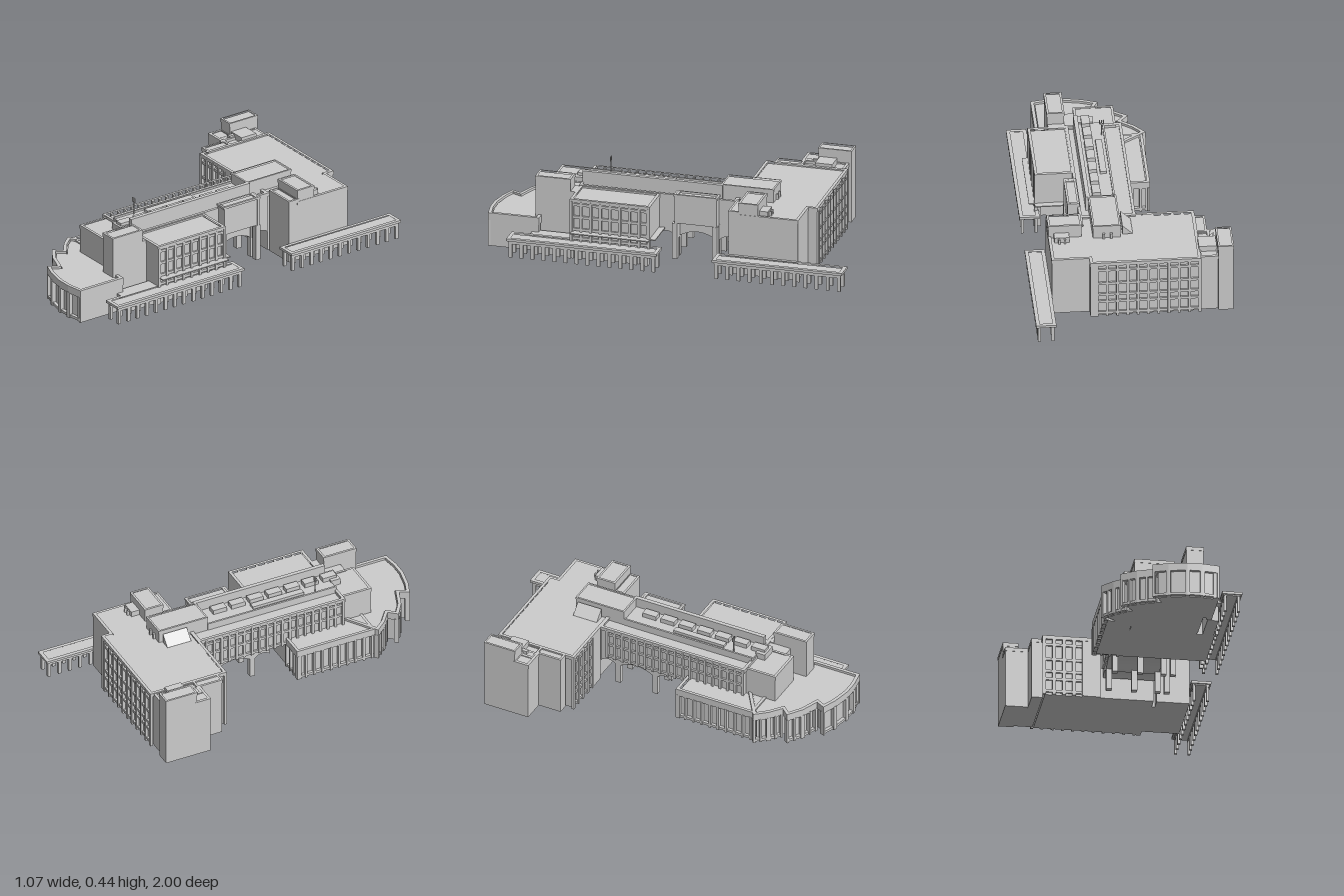
import * as THREE from 'three';

const mat = new THREE.MeshStandardMaterial({ color: 0xcccccc, flatShading: true });

// Moves every edge of a closed [x, z] outline inwards by d
function inset(pts, d) {
  const n = pts.length;
  let area = 0;
  pts.forEach(([x, z], i) => { const q = pts[(i + 1) % n]; area += x * q[1] - q[0] * z; });
  const s = Math.sign(area);
  return pts.map((p, i) => {
    const a = pts[(i + n - 1) % n], b = pts[(i + 1) % n];
    const u = new THREE.Vector2(p[0] - a[0], p[1] - a[1]).normalize();
    const v = new THREE.Vector2(b[0] - p[0], b[1] - p[1]).normalize();
    const k = d * s / (1 + u.dot(v));
    return [p[0] - (u.y + v.y) * k, p[1] + (u.x + v.x) * k];
  });
}
const rect = (x0, x1, z0, z1) => [[x0, z0], [x1, z0], [x1, z1], [x0, z1]];
const toPath = (pts) => pts.map(([x, z]) => new THREE.Vector2(x, -z));

function add(parent, name, geo) {
  const m = new THREE.Mesh(geo, mat);
  m.name = name;
  parent.add(m);
  return m;
}
// Box given by its limits
function box(parent, name, x0, x1, y0, y1, z0, z1) {
  const m = add(parent, name, new THREE.BoxGeometry(x1 - x0, y1 - y0, z1 - z0));
  m.position.set((x0 + x1) / 2, (y0 + y1) / 2, (z0 + z1) / 2);
  return m;
}
// Upright prism over an [x, z] outline, optionally hollow
function prism(parent, name, pts, y0, y1, hole) {
  const s = new THREE.Shape(toPath(pts));
  if (hole) s.holes.push(new THREE.Path(toPath(hole)));
  const g = new THREE.ExtrudeGeometry(s, { depth: y1 - y0, bevelEnabled: false });
  g.rotateX(-Math.PI / 2).translate(0, y0, 0);
  return add(parent, name, g);
}
// Walls, flat roof and a raised parapet
function block(parent, name, pts, y0, y1, wallInset = 0.004, rim = 0.02, fascia = 0.02) {
  const g = new THREE.Group();
  g.name = name;
  prism(g, name + 'Walls', inset(pts, wallInset), y0, y1 - 0.01);
  prism(g, name + 'Parapet', pts, y1 - fascia, y1, inset(pts, rim));
  parent.add(g);
  return g;
}
// Fins and floor bands along a wall; the wall faces left of travel on the ground plan
function facade(parent, name, [x0, z0], [x1, z1], y0, y1, bays, rows, depth = 0.014, fin = 0.014) {
  const g = new THREE.Group(), len = Math.hypot(x1 - x0, z1 - z0);
  g.name = name;
  g.position.set(x0, 0, z0);
  g.rotation.y = Math.atan2(-(z1 - z0), x1 - x0);
  for (let i = 0; i <= bays; i++) {
    const x = fin / 2 + (len - fin) * i / bays;
    box(g, 'fin', x - fin / 2, x + fin / 2, y0, y1, -depth, 0.001);
  }
  for (const y of rows) box(g, 'floorBand', 0, len, y - 0.007, y + 0.007, -depth, -0.004);
  parent.add(g);
}

export function createModel() {
  const model = new THREE.Group();
  model.name = 'building';

  // Rear wing
  block(model, 'rearWing', [[-0.36, -0.78], [0.23, -0.78], [0.23, -0.73], [0.43, -0.73], [0.43, -0.4],
    [0.25, -0.4], [0.25, -0.33], [-0.36, -0.33]], 0, 0.34, 0.014, 0.016);
  const wingRows = [0.02, 0.09, 0.135, 0.205, 0.29];
  facade(model, 'rearWindows', [0.2, -0.78], [-0.36, -0.78], 0, 0.33, 10, wingRows);
  facade(model, 'wingFrontWindows', [-0.36, -0.33], [-0.13, -0.33], 0, 0.33, 4, wingRows, 0.014, 0.018);
  box(model, 'plainWall', -0.13, -0.05, 0, 0.33, -0.36, -0.332);
  box(model, 'rearCorner', 0.2, 0.228, 0, 0.33, -0.778, -0.7);
  box(model, 'rearSideWall', 0.4, 0.428, 0, 0.33, -0.728, -0.4);
  box(model, 'rearPlainWall', 0.22, 0.428, 0, 0.33, -0.728, -0.7);

  // Left stair tower and its lower neighbours
  block(model, 'leftTower', rect(-0.535, -0.45, -0.775, -0.59), 0, 0.405, 0.002, 0.01);
  block(model, 'leftTowerBase', rect(-0.535, -0.41, -0.6, -0.51), 0, 0.34, 0.002, 0.015);
  block(model, 'leftLink', rect(-0.46, -0.35, -0.76, -0.52), 0, 0.335, 0.002, 0.015);
  block(model, 'leftCorner', rect(-0.413, -0.35, -0.53, -0.38), 0, 0.34, 0.002, 0.012);
  box(model, 'roofHut', -0.45, -0.355, 0.32, 0.357, -0.695, -0.6);
  box(model, 'roofVent', -0.44, -0.42, 0.32, 0.35, -0.6, -0.57);

  // Right rear tower
  block(model, 'rightTower', rect(0.25, 0.43, -0.51, -0.4), 0, 0.405, 0.002, 0.012);
  block(model, 'rightTowerStep', rect(0.25, 0.43, -0.41, -0.345), 0, 0.355, 0.002, 0.012);
  box(model, 'towerHut', 0.32, 0.4, 0.32, 0.36, -0.555, -0.505);
  for (const x of [0.34, 0.37]) box(model, 'towerPipe', x, x + 0.01, 0.32, 0.355, -0.57, -0.55);

  // Central spine: closed ground floor to the front, arched passage to the rear
  box(model, 'spineGroundFloor', -0.036, 0.25, 0, 0.32, 0.19, 0.52);
  const arch = new THREE.Shape();
  arch.moveTo(-0.19, 0.15);
  arch.lineTo(-0.085, 0.15);
  arch.lineTo(-0.085, 0.115);
  arch.quadraticCurveTo(-0.045, 0.15, 0, 0.115);
  arch.lineTo(0.03, 0.115);
  arch.quadraticCurveTo(0.125, 0.17, 0.22, 0.115);
  arch.lineTo(0.25, 0.115);
  arch.quadraticCurveTo(0.29, 0.15, 0.335, 0.115);
  arch.lineTo(0.335, 0.32);
  arch.lineTo(-0.19, 0.32);
  const bridge = new THREE.ExtrudeGeometry(arch, { depth: 0.286, bevelEnabled: false, curveSegments: 10 });
  bridge.rotateY(Math.PI / 2).translate(-0.036, 0, 0);
  add(model, 'archedBridge', bridge);
  for (const z of [-0.015, -0.235])
    for (const x of [-0.035, 0.1, 0.225, 0.275])
      box(model, 'passagePier', x, x + 0.03, 0, 0.2, z - 0.015, z + 0.015);
  const spine = rect(-0.05, 0.25, -0.34, 0.525);
  prism(model, 'spineParapet', spine, 0.32, 0.34, inset(spine, 0.016));
  facade(model, 'spineWindows', [-0.05, -0.3], [-0.05, 0.52], 0.15, 0.33, 18, [0.16, 0.235, 0.3]);

  // Bay above the passage
  block(model, 'passageBay', rect(0.24, 0.305, -0.25, -0.01), 0.2, 0.365, 0.006, 0.012, 0.012);
  for (const z of [-0.245, -0.03]) box(model, 'bayCheek', 0.24, 0.304, 0.11, 0.36, z, z + 0.015);

  // Rooftop plant: solid rear house, long screen wall, row of skylights
  block(model, 'roofHouse', rect(0.045, 0.195, -0.53, -0.24), 0.32, 0.405, 0.002, 0.01, 0.012);
  box(model, 'roofDeck', 0.05, 0.2, 0.31, 0.35, -0.24, 0.52);
  box(model, 'screenWall', 0.185, 0.207, 0.32, 0.405, -0.25, 0.52);
  box(model, 'lowScreen', 0.045, 0.055, 0.32, 0.36, -0.24, 0.52);
  box(model, 'screenEnd', 0.1, 0.19, 0.32, 0.36, 0.515, 0.57);
  for (let i = 0; i < 7; i++) {
    const z = -0.17 + i * 0.108;
    box(model, 'skylight', 0.12, 0.165, 0.345, 0.375, z, z + 0.08);
  }
  box(model, 'duct', 0.07, 0.105, 0.345, 0.365, 0.04, 0.34);
  for (const x of [0.09, 0.13]) box(model, 'roofPipe', x, x + 0.012, 0.32, 0.36, -0.54, -0.52);
  // Sloping roof light
  const wedge = new THREE.Shape([[-0.02, 0.335], [0.035, 0.335], [0.035, 0.388]].map((p) => new THREE.Vector2(...p)));
  add(model, 'slopingRoofLight', new THREE.ExtrudeGeometry(wedge, { depth: 0.14, bevelEnabled: false })
    .translate(0, 0, -0.51));
  // Forked mast
  box(model, 'mast', 0.063, 0.068, 0.345, 0.445, 0.4, 0.405);
  box(model, 'mastCrossbar', 0.053, 0.078, 0.42, 0.425, 0.4, 0.405);
  for (const x of [0.053, 0.074]) box(model, 'mastProng', x, x + 0.004, 0.42, 0.445, 0.4, 0.405);

  // Right office block, overhanging at its rear end
  block(model, 'officeUpper', rect(0.24, 0.45, 0.08, 0.52), 0.15, 0.337, 0.014, 0.016);
  box(model, 'officeGroundFloor', 0.24, 0.436, 0, 0.16, 0.19, 0.506);
  for (const z of [0.09, 0.14]) box(model, 'officePost', 0.415, 0.435, 0, 0.16, z, z + 0.016);
  facade(model, 'officeWindows', [0.45, 0.52], [0.45, 0.08], 0.1, 0.325, 8, [0.115, 0.165, 0.235, 0.305], 0.016);
  box(model, 'officeFrontWall', 0.24, 0.448, 0, 0.32, 0.5, 0.518);
  box(model, 'officeRearWall', 0.24, 0.448, 0.15, 0.32, 0.082, 0.1);
  box(model, 'ledge', 0.43, 0.48, 0.148, 0.154, 0.08, 0.51);
  box(model, 'rearLedge', 0.26, 0.45, 0.148, 0.154, 0.05, 0.09);

  // Front block and stair tower
  block(model, 'frontBlock', rect(-0.02, 0.195, 0.51, 0.695), 0, 0.335, 0.002, 0.014);
  box(model, 'frontLink', 0.19, 0.26, 0, 0.33, 0.51, 0.645);
  block(model, 'frontTower', rect(0.25, 0.345, 0.545, 0.74), 0, 0.405, 0.002, 0.012);
  box(model, 'frontTowerLink', 0.25, 0.34, 0, 0.335, 0.51, 0.55);

  // Low side block and stepped fan hall
  const arc = [[-0.19, 0.65], [-0.135, 0.715], [-0.07, 0.765], [-0.11, 0.81], [-0.03, 0.865], [0.065, 0.9],
    [0.04, 0.95], [0.12, 0.98], [0.22, 1.0], [0.3, 1.0], [0.393, 0.985]];
  block(model, 'fanHall', [[-0.02, 0.535], ...arc, [0.393, 0.705], [0.3, 0.705], [0.25, 0.535]],
    0, 0.187, 0.022, 0.018, 0.042);
  arc.slice(1).forEach((p, i) => {
    if (i === 2 || i === 5) return;
    facade(model, 'fanColumns', arc[i], p, 0, 0.15, i < 6 ? 2 : 1, [0.012], 0.026, 0.012);
  });
  box(model, 'fanEndWall', 0.36, 0.391, 0, 0.16, 0.707, 0.982);
  block(model, 'sideBlock', rect(-0.172, 0, 0.18, 0.64), 0, 0.185, 0.02, 0.016, 0.04);
  facade(model, 'sideColumns', [-0.172, 0.18], [-0.172, 0.63], 0, 0.15, 9, [0.012], 0.024, 0.012);
  facade(model, 'sideRearColumns', [-0.03, 0.18], [-0.172, 0.18], 0, 0.15, 3, [0.012], 0.024, 0.012);

  // Covered walkways on two rows of columns
  for (const [z0, z1, n] of [[0.02, 0.845, 14], [-1, -0.285, 12]]) {
    const walk = new THREE.Group();
    walk.name = 'coveredWalkway';
    const roof = rect(0.428, 0.535, z0, z1);
    prism(walk, 'walkwayRoof', inset(roof, 0.008), 0.088, 0.098);
    prism(walk, 'walkwayRim', roof, 0.094, 0.108, inset(roof, 0.02));
    for (const x of [0.438, 0.51]) {
      box(walk, 'walkwayBeam', x, x + 0.015, 0.076, 0.09, z0 + 0.01, z1 - 0.01);
      for (let i = 0; i < n; i++) {
        const z = z0 + 0.02 + (z1 - z0 - 0.04) * i / (n - 1);
        box(walk, 'walkwayColumn', x, x + 0.015, 0, 0.08, z - 0.009, z + 0.009);
      }
    }
    model.add(walk);
  }
  box(model, 'walkwayLink', 0.36, 0.44, 0.085, 0.105, 0.515, 0.745);
  box(model, 'walkwayLinkWall', 0.37, 0.43, 0, 0.09, 0.515, 0.7);

  return model;
}
